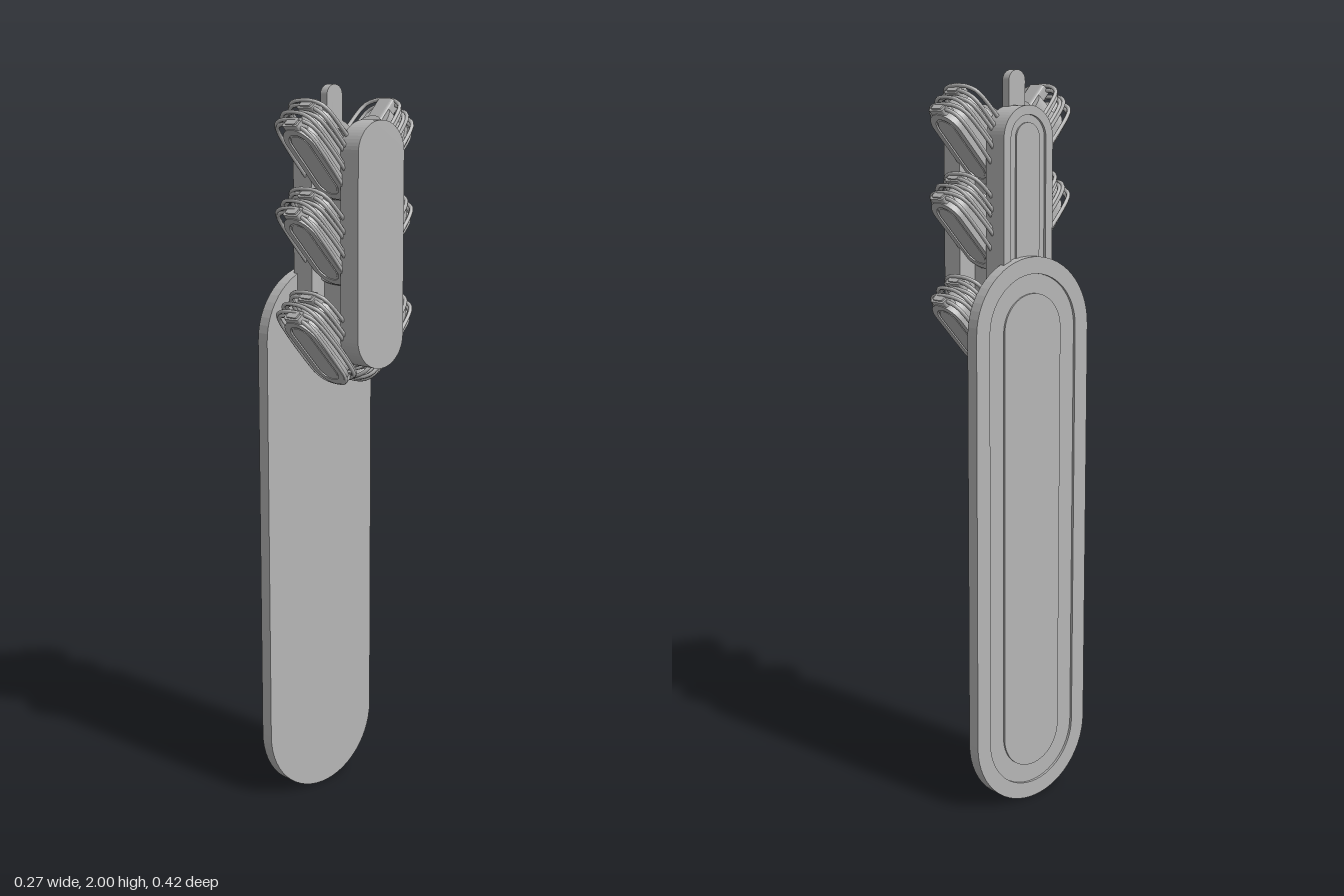
import * as THREE from 'three';

const grey = new THREE.MeshStandardMaterial({ color: 0xb6b6b6 });
grey.name = 'plain grey';

// Upright rounded-end outline, r = half width, h = half height
function outline(r, h, Type = THREE.Shape) {
  const s = new Type();
  const k = h - r;
  s.moveTo(r, -k);
  s.lineTo(r, k);
  s.absarc(0, k, r, 0, Math.PI, false);
  s.lineTo(-r, -k);
  s.absarc(0, -k, r, Math.PI, Math.PI * 2, false);
  return s;
}

// Rounded-end slab, extruded along its local z and centred there; optional hole inset
function slab(name, r, h, depth, inset = 0) {
  const shape = outline(r, h);
  if (inset) shape.holes.push(outline(r - inset, h - inset, THREE.Path));
  const geo = new THREE.ExtrudeGeometry(shape, { depth, bevelEnabled: false, curveSegments: 14 });
  geo.translate(0, 0, -depth / 2);
  const mesh = new THREE.Mesh(geo, grey);
  mesh.name = name;
  return mesh;
}

// Slab standing in the side plane between x0 and x1, and between y0 and y1
function sideSlab(name, r, x0, x1, y0, y1, z, inset = 0) {
  const m = slab(name, r, (y1 - y0) / 2, x1 - x0, inset);
  m.rotation.y = Math.PI / 2;
  m.position.set((x0 + x1) / 2, (y0 + y1) / 2, z);
  return m;
}

// One closed wire loop around the coil core
function wire(halfWidth, halfLength, n, offsetX, sway) {
  const pts = [];
  const k = halfLength - halfWidth * 0.75;
  for (let i = 0; i < 28; i++) {
    const a = (i / 28) * Math.PI * 2;
    const c = Math.cos(a), s = Math.sin(a);
    pts.push(new THREE.Vector3(
      offsetX + halfWidth * Math.sign(c) * Math.pow(Math.abs(c), 0.75),
      Math.sign(s) * k * Math.min(1, Math.abs(s) * 2) + s * halfWidth * 0.75,
      n + sway * Math.cos(a + 0.6)));
  }
  const path = new THREE.CatmullRomCurve3(pts, true);
  const m = new THREE.Mesh(new THREE.TubeGeometry(path, 56, 0.0055, 7, true), grey);
  m.name = 'wire';
  return m;
}

// Wound coil: local y runs along its length, local z points outward
function coil(wireShift) {
  const g = new THREE.Group();
  g.name = 'coil';
  const add = (mesh, y, z) => { mesh.position.set(0, y, z); g.add(mesh); };
  add(slab('coilCore', 0.046, 0.112, 0.09), 0, 0);
  add(slab('outerFlange', 0.055, 0.122, 0.016), 0, 0.04);
  add(slab('outerFlangeRim', 0.055, 0.122, 0.006, 0.018), 0, 0.05);
  add(slab('outerFacePanel', 0.031, 0.098, 0.004), 0, 0.05);
  add(slab('innerFlange', 0.055, 0.105, 0.014), -0.035, -0.048);
  add(slab('innerFacePanel', 0.028, 0.08, 0.006), -0.035, -0.057);
  // End lugs, each with a smaller raised cap
  for (const n of [-0.034, 0.034]) {
    const lug = new THREE.Shape();
    const w = 0.029, d = 0.017, b = 0.009;
    lug.moveTo(-w + b, -d);
    lug.lineTo(w - b, -d); lug.quadraticCurveTo(w, -d, w, -d + b);
    lug.lineTo(w, d - b); lug.quadraticCurveTo(w, d, w - b, d);
    lug.lineTo(-w + b, d); lug.quadraticCurveTo(-w, d, -w, d - b);
    lug.lineTo(-w, -d + b); lug.quadraticCurveTo(-w, -d, -w + b, -d);
    [[1, 0.256], [0.7, 0.264]].forEach(([s, len]) => {
      const geo = new THREE.ExtrudeGeometry(lug, { depth: len, bevelEnabled: false, curveSegments: 4 });
      geo.translate(0, 0, -len / 2).scale(s, s, 1).rotateX(Math.PI / 2);
      const m = new THREE.Mesh(geo, grey);
      m.name = s === 1 ? 'endLug' : 'endLugCap';
      add(m, 0.004, n);
    });
  }
  // Stack of wires
  for (let i = 0; i < 6; i++) {
    const w = 0.076 + 0.004 * Math.sin(i * 2.1);
    const len = 0.132 + 0.006 * Math.cos(i * 1.9);
    g.add(wire(w, len, -0.042 + i * 0.0165, wireShift, 0.007 * (i % 2 ? 1 : -0.5)));
  }
  return g;
}

export function createModel() {
  const model = new THREE.Group();
  model.name = 'model';

  // Long blade with stepped outer face
  model.add(
    sideSlab('blade', 0.195, -0.13, -0.1, 0, 1.52, -0.008),
    sideSlab('bladeRim', 0.195, -0.137, -0.13, 0, 1.52, -0.008, 0.045),
    sideSlab('bladePanel', 0.098, -0.135, -0.13, 0.097, 1.423, -0.008));

  // Side plates and the core between them
  model.add(
    sideSlab('leftPlate', 0.084, 0.068, 0.135, 1.26, 1.91, -0.008),
    sideSlab('rightPlate', 0.084, -0.108, -0.042, 1.26, 1.91, -0.008),
    sideSlab('rightPlateRim', 0.084, -0.115, -0.108, 1.26, 1.91, -0.008, 0.024),
    sideSlab('rightPlatePanel', 0.04, -0.113, -0.108, 1.304, 1.866, -0.008),
    sideSlab('middleCore', 0.035, -0.042, 0.068, 1.31, 1.8, -0.005),
    sideSlab('topTab', 0.028, -0.066, -0.04, 1.45, 2, -0.006));

  // Three pairs of coils, splayed in a V to front and back
  for (const y of [1.336, 1.605, 1.83]) {
    for (const side of [1, -1]) {
      const c = coil(side === 1 ? -0.018 : 0.008);
      c.rotation.x = 0.73;
      c.position.z = 0.085;
      const arm = new THREE.Group();
      arm.name = side === 1 ? 'frontCoil' : 'backCoil';
      arm.add(c);
      arm.rotation.y = side === 1 ? 0 : Math.PI;
      arm.position.set(0.02, y, 0);
      model.add(arm);
    }
  }
  return model;
}
